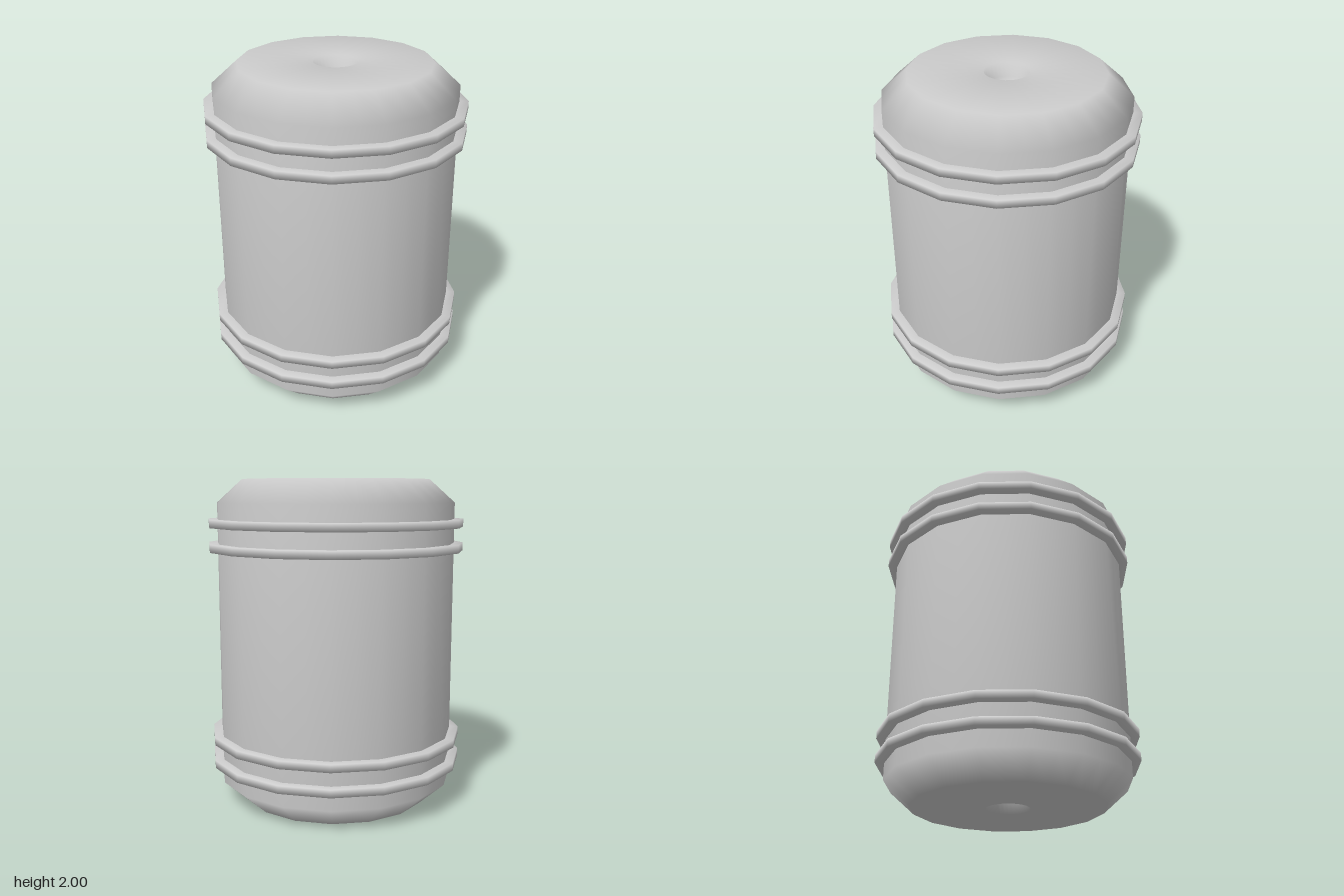
import * as THREE from 'three';

const material = new THREE.MeshStandardMaterial({ color: 0xcccccc });
const SIDES = 16;

function lathe(name, profile, segments) {
  const points = profile.map(([r, y]) => new THREE.Vector2(r, y));
  const mesh = new THREE.Mesh(new THREE.LatheGeometry(points, segments), material);
  mesh.name = name;
  return mesh;
}

export function createModel() {
  const group = new THREE.Group();
  group.name = 'barrel';

  // Body: straight wall, chamfered ends, and a small round recess in each end
  const half = [[0, 0.14], [0.08, 0.12], [0.133, 0.09], [0.133, 0], [0.58, 0], [0.735, 0.14]];
  const profile = [...half, ...half.map(([r, y]) => [r, 2 - y]).reverse()];
  const body = lathe('body', profile, SIDES * 2);

  // Keep the recess round, but flatten the outer wall to sixteen sides
  const pos = body.geometry.attributes.position;
  const chord = Math.cos(Math.PI / SIDES);
  for (let i = 0; i < pos.count; i++) {
    const column = Math.floor(i / profile.length);
    if (column % 2 === 1 && profile[i % profile.length][0] > 0.2) {
      pos.setX(i, pos.getX(i) * chord);
      pos.setZ(i, pos.getZ(i) * chord);
    }
  }
  group.add(body);

  // Two hoops near each end
  const hoopNames = ['lowerOuterHoop', 'lowerInnerHoop', 'upperInnerHoop', 'upperOuterHoop'];
  [0.265, 0.412, 1.593, 1.738].forEach((y, i) => {
    const hoop = lathe(hoopNames[i], [
      [0.72, -0.024], [0.79, -0.024], [0.79, 0.024], [0.72, 0.024],
    ], SIDES);
    hoop.position.y = y;
    group.add(hoop);
  });

  return group;
}
